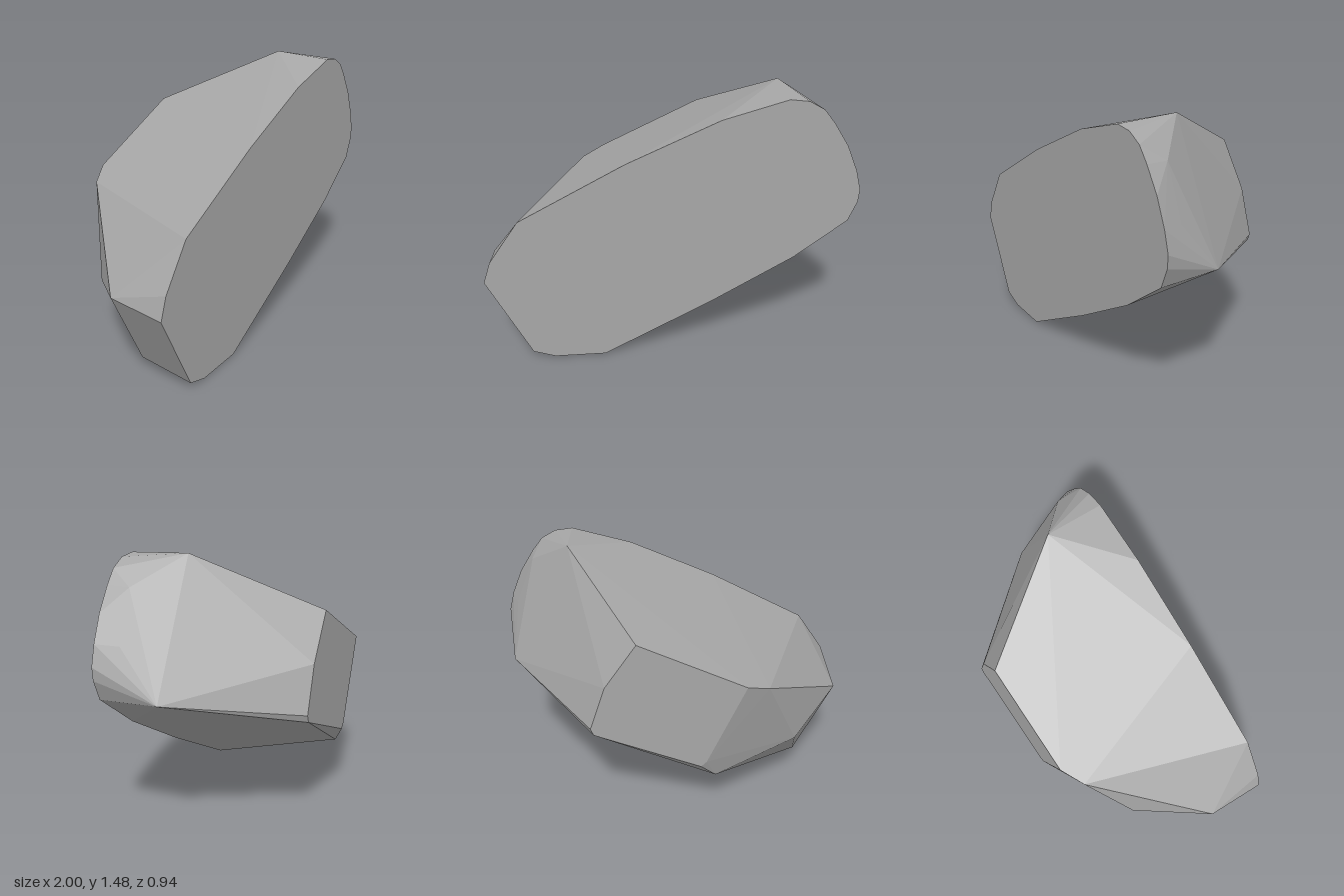
import * as THREE from 'three';
import { ConvexGeometry } from 'three/addons/geometries/ConvexGeometry.js';

// A faceted boulder: the convex hull of a few cross-sections stacked along z.
const sections = [
  // broad flat front
  { z: 0.47, points: [
    [-1, 0.5], [-0.96, 0.62], [-0.8, 0.85], [-0.24, 1.15], [0.25, 1.37], [0.59, 1.467],
    [0.69, 1.455], [0.77, 1.41], [0.83, 1.335], [0.91, 1.21], [0.97, 1.07], [1, 0.96],
    [0.995, 0.89], [0.95, 0.78], [0.67, 0.57], [0.22, 0.31], [-0.37, 0], [-0.65, 0], [-0.77, 0.04],
  ] },
  // rounded shoulder
  { z: 0.35, points: [[0.82, 1.33], [0.93, 1.06]] },
  // widest corners behind the front
  { z: 0.14, points: [[0.6, 1.48], [0.955, 0.79], [-0.75, 0.06], [-0.975, 0.515]] },
  // chipped right flank
  { z: -0.2, points: [[-0.67, 0.38]] },
  { z: -0.4, points: [[-0.46, 0.85], [-0.18, 0.29]] },
  // small flat back
  { z: -0.465, points: [
    [0.25, 1.175], [0.42, 0.93], [0.505, 0.68], [0.49, 0.64], [-0.09, 0.4], [-0.12, 0.43], [-0.33, 0.9],
  ] },
];

export function createModel() {
  const group = new THREE.Group();
  group.name = 'boulder';

  const stone = new THREE.MeshStandardMaterial({ color: 0xa6a6a6 });
  stone.name = 'stone grey';
  stone.flatShading = true;

  const corners = sections.flatMap(({ z, points }) =>
    points.map(([x, y]) => new THREE.Vector3(x, y, z)));
  const rock = new THREE.Mesh(new ConvexGeometry(corners), stone);
  rock.name = 'rock';
  group.add(rock);

  return group;
}
